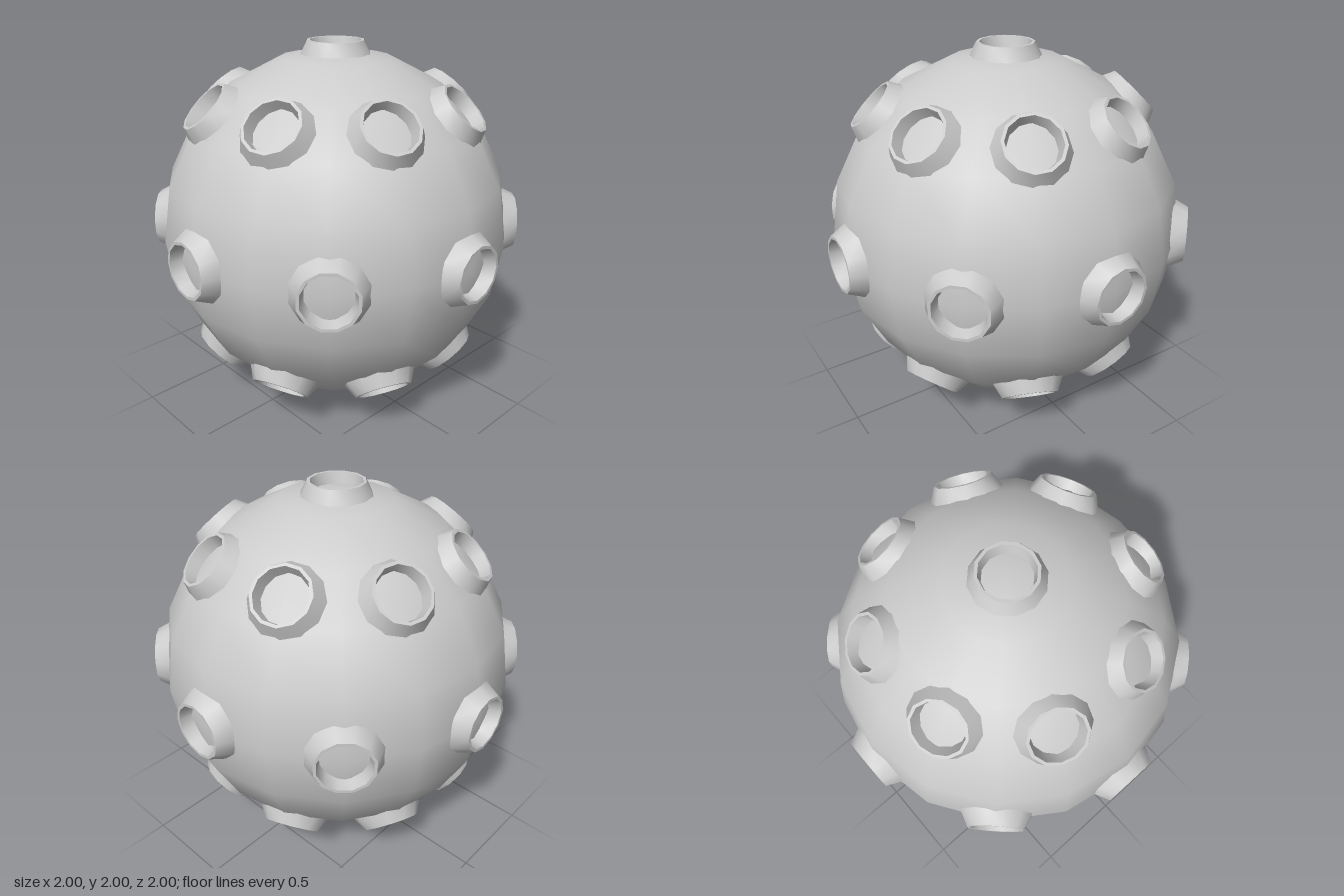
import * as THREE from 'three';
import { toCreasedNormals } from 'three/addons/utils/BufferGeometryUtils.js';

export function createModel() {
  const model = new THREE.Group();
  model.name = 'studdedBall';
  const material = new THREE.MeshStandardMaterial({ color: 0xcccccc });

  // Ball body
  const body = new THREE.Mesh(new THREE.SphereGeometry(0.96, 16, 10), material);
  body.name = 'ball';
  body.position.y = 1;
  model.add(body);

  // Hollow tapered stud: outer slope, thin rim, inner wall; heights are from the ball centre
  const profile = [[0.195, 0.915], [0.152, 1], [0.136, 1], [0.118, 0.925]]
    .map(([r, h]) => new THREE.Vector2(r, h));
  const studGeometry = toCreasedNormals(new THREE.LatheGeometry(profile, 12), 0.7);

  const studs = new THREE.Group();
  studs.name = 'studs';
  studs.position.y = 1;
  model.add(studs);

  const up = new THREE.Vector3(0, 1, 0);
  function addStud(name, elevation, azimuth) {
    const direction = new THREE.Vector3().setFromSphericalCoords(1, Math.PI / 2 - elevation, azimuth);
    const stud = new THREE.Mesh(studGeometry, material);
    stud.name = name;
    stud.quaternion.setFromUnitVectors(up, direction);
    studs.add(stud);
  }

  // Three rings of eight studs, the outer two turned half a step
  for (let i = 0; i < 8; i++) {
    const azimuth = (i * Math.PI) / 4;
    addStud('middleStud', 0, azimuth);
    addStud('upperStud', Math.PI / 4, azimuth + Math.PI / 8);
    addStud('lowerStud', -Math.PI / 4, azimuth + Math.PI / 8);
  }

  // Pole studs
  addStud('topStud', Math.PI / 2, 0);
  addStud('bottomStud', -Math.PI / 2, 0);

  return model;
}
